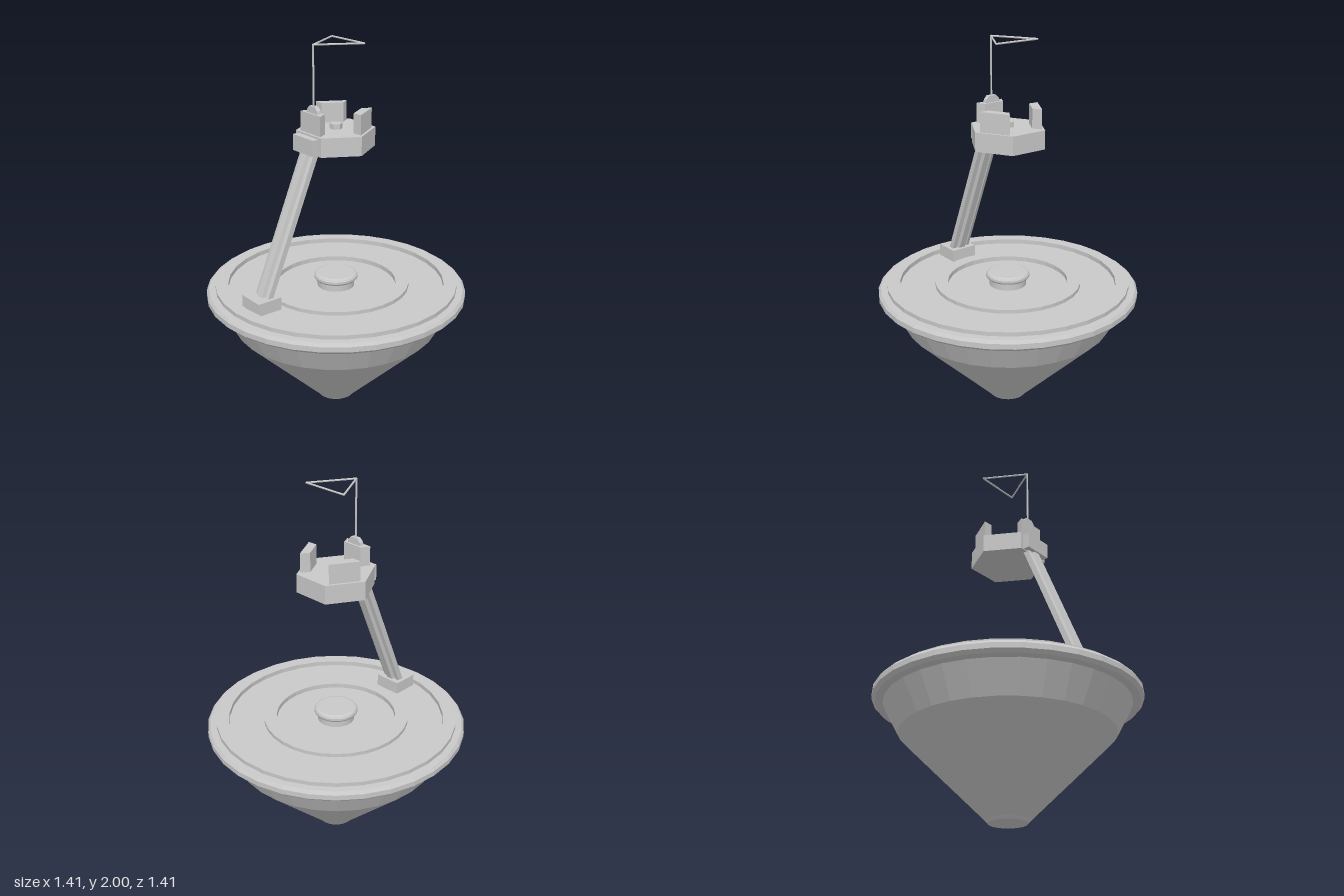
import * as THREE from 'three';

const grey = new THREE.MeshStandardMaterial({ color: 0xc8c8c8 });
grey.name = 'plain grey';

export function createModel() {
  const model = new THREE.Group();
  model.name = 'conicalStation';

  // Adds a faceted part
  const add = (name, geometry, x = 0, y = 0, z = 0, parent = model) => {
    const flat = geometry.index ? geometry.toNonIndexed() : geometry;
    flat.computeVertexNormals();
    const mesh = new THREE.Mesh(flat, grey);
    mesh.name = name;
    mesh.position.set(x, y, z);
    parent.add(mesh);
    return mesh;
  };
  const box = (w, h, d) => new THREE.BoxGeometry(w, h, d);
  const shape = pts => new THREE.Shape(pts.map(p => new THREE.Vector2(...p)));
  const lathe = (pts, sides) => new THREE.LatheGeometry(pts.map(p => new THREE.Vector2(...p)), sides);

  // Conical hull, rim, deck lip and raised deck ring in one profile
  add('hull', lathe([
    [0, 0], [0.1, 0.002], [0.113, 0.018], [0.56, 0.455], [0.645, 0.612],
    [0.685, 0.615], [0.703, 0.632], [0.703, 0.66], [0.69, 0.676], [0.655, 0.678],
    [0.655, 0.7], [0.585, 0.7], [0.585, 0.675], [0.395, 0.675],
    [0.395, 0.695], [0.325, 0.695], [0.325, 0.67], [0, 0.67],
  ], 32));

  // Round hatch in the middle of the deck
  add('deckHatch', lathe([
    [0.1, 0.668], [0.1, 0.705], [0.112, 0.71], [0.118, 0.719], [0.118, 0.731],
    [0.112, 0.74], [0.1, 0.745], [0, 0.745],
  ], 32));

  // Leaning arm with a grooved cross-section
  add('armFoot', box(0.15, 0.07, 0.14), 0, 0.708, 0.49);
  const quarter = [[0.055, 0.015], [0.035, 0.02], [0.03, 0.01], [0.024, 0.01], [0.018, 0.03]];
  const top = [...quarter, ...quarter.map(([x, y]) => [-x, y]).reverse()];
  const section = shape([...top, ...top.map(([x, y]) => [-x, -y])]);
  const start = new THREE.Vector3(0, 0.71, 0.485);
  const end = new THREE.Vector3(0, 1.5, 0.152);
  const arm = add('arm', new THREE.ExtrudeGeometry(section, {
    depth: start.distanceTo(end), bevelEnabled: false,
  }), ...start.toArray());
  arm.lookAt(end);

  // Hexagonal platform with a corner on each side
  const hex = (r, h) => new THREE.CylinderGeometry(r, r, h, 6).rotateY(Math.PI / 6);
  add('platform', hex(0.206, 0.1), 0, 1.5, 0);
  add('platformKnob', hex(0.033, 0.03), 0, 1.563, 0);
  add('platformBracket', box(0.164, 0.085, 0.04), 0, 1.4975, 0.194);

  // Three upright wall panels on alternate platform edges
  const wall = shape([[-0.081, -0.165], [0.081, -0.165], [0.058, -0.118], [-0.058, -0.118]]);
  for (let i = 0; i < 3; i++) {
    const geometry = new THREE.ExtrudeGeometry(wall, { depth: 0.105, bevelEnabled: false });
    geometry.rotateX(-Math.PI / 2);
    add('wallPanel', geometry, 0, 1.549, 0).rotation.y = i * Math.PI * 2 / 3;
  }

  // Half-round crest on the front panel
  const crest = shape([[-0.045, 0], [0.045, 0], [0.04, 0.017], [0.022, 0.036], [-0.022, 0.036], [-0.04, 0.017]]);
  add('crest', new THREE.ExtrudeGeometry(crest, { depth: 0.024, bevelEnabled: false }), 0, 1.653, 0.13);

  // Mast carrying a horizontal triangular loop
  add('mast', new THREE.CylinderGeometry(0.005, 0.005, 0.325, 8), 0, 1.8325, 0.143);
  const corners = [[0, 0.143], [0.128, -0.076], [-0.128, -0.076]].map(([x, z]) => new THREE.Vector3(x, 1.995, z));
  corners.forEach((a, i) => {
    const path = new THREE.LineCurve3(a, corners[(i + 1) % 3]);
    add('antennaBar', new THREE.TubeGeometry(path, 1, 0.005, 8));
    add('antennaJoint', new THREE.SphereGeometry(0.005, 8, 6), ...a.toArray());
  });

  return model;
}
